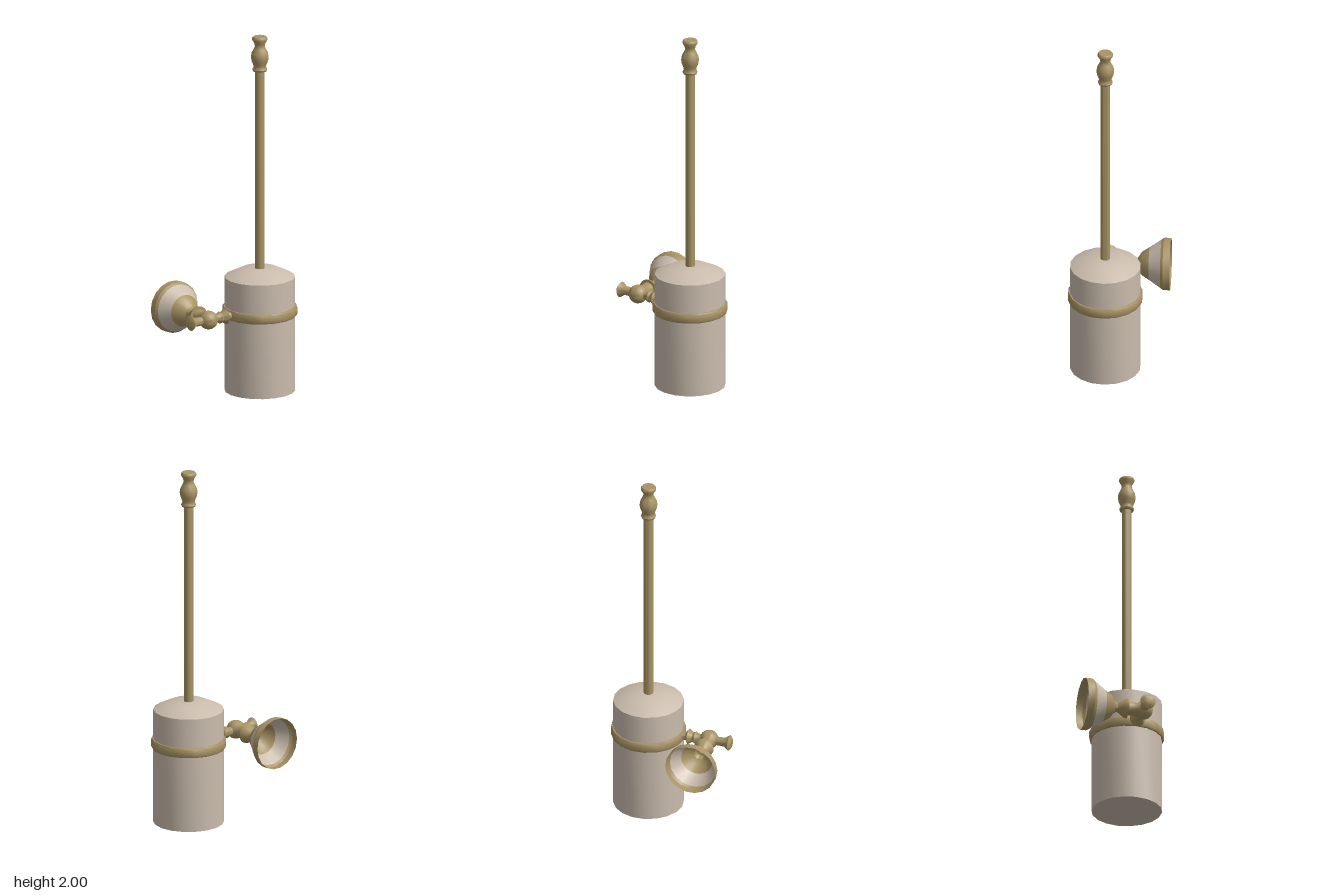
import * as THREE from 'three';
import { toCreasedNormals } from 'three/addons/utils/BufferGeometryUtils.js';

const brass = new THREE.MeshStandardMaterial({ color: 0xa89364, side: THREE.DoubleSide });
brass.name = 'brass';
const ceramic = new THREE.MeshStandardMaterial({ color: 0xcabcad, side: THREE.DoubleSide });
ceramic.name = 'ceramic';

const SIDES = 18;
const CUP = { x: 0.14, z: 0.067 };
const ARM = { x: -0.205, y: 0.452, z: 0.067 };

// Turned part: points are [radius, position along the axis]
function turned(name, points, material, axis = 'y', crease = 0.8) {
  const profile = points.map(([r, t]) => new THREE.Vector2(r, t));
  const lathe = new THREE.LatheGeometry(profile, SIDES, Math.PI / 2);
  const geometry = toCreasedNormals(lathe, crease);
  if (axis === 'x') geometry.rotateZ(-Math.PI / 2);
  if (axis === 'z') geometry.rotateX(Math.PI / 2);
  const mesh = new THREE.Mesh(geometry, material);
  mesh.name = name;
  return mesh;
}

export function createModel() {
  const model = new THREE.Group();
  model.name = 'toiletBrushHolder';

  // Cup, lid, holding ring and brush share one vertical axis
  const brush = new THREE.Group();
  brush.name = 'cupAndBrush';
  brush.position.set(CUP.x, 0, CUP.z);
  brush.add(
    turned('cup', [[0, 0], [0.193, 0], [0.193, 0.643]], ceramic),
    turned('lid', [[0.193, 0.643], [0.1, 0.688], [0, 0.69]], ceramic),
    turned('holdingRing', [
      [0.188, 0.425], [0.2, 0.425], [0.205, 0.433], [0.205, 0.472], [0.2, 0.48], [0.188, 0.48],
    ], brass),
    turned('handleRod', [[0.026, 0.68], [0.026, 1.81]], brass),
    turned('handleKnob', [
      [0, 1.805], [0.037, 1.805], [0.041, 1.815], [0.034, 1.828], [0.036, 1.84], [0.045, 1.862],
      [0.049, 1.885], [0.045, 1.908], [0.034, 1.93], [0.027, 1.945], [0.03, 1.962],
      [0.042, 1.982], [0.042, 1.992], [0.036, 2], [0, 2],
    ], brass),
  );
  model.add(brush);

  // Wall mount: flared bell, neck and ball along z
  const mount = new THREE.Group();
  mount.name = 'wallMount';
  mount.position.set(ARM.x, ARM.y, 0);
  const ball = [];
  for (let i = 0; i <= 8; i++) {
    const a = -Math.PI / 4 + (i / 8) * Math.PI * 0.75;
    ball.push([Math.max(0, 0.052 * Math.cos(a)), ARM.z + 0.004 + 0.052 * Math.sin(a)]);
  }
  mount.add(
    turned('bellRim', [[0.143, -0.272], [0.143, -0.234], [0.133, -0.22]], brass, 'z', 0.5),
    turned('bellBand', [[0.133, -0.22], [0.089, -0.155]], ceramic, 'z'),
    turned('bellThroat', [[0.089, -0.155], [0.063, -0.114], [0.034, -0.095]], brass, 'z'),
    turned('mountNeck', [
      [0.034, -0.095], [0.025, -0.077], [0.034, -0.06], [0.053, -0.033], [0.055, -0.021],
      [0.04, -0.02], [0.036, 0.005], ...ball,
    ], brass, 'z'),
  );
  model.add(mount);

  // Crossbar along x: free finial on one side, ring joint on the other
  const crossbar = turned('crossbar', [
    [0, -0.335], [0.026, -0.335], [0.043, -0.322], [0.025, -0.295], [0.024, -0.25],
    [0.024, -0.155], [0.025, -0.143], [0.033, -0.128], [0.026, -0.115], [0.043, -0.09],
    [0.023, -0.076], [0.023, -0.05],
  ], brass, 'x');
  crossbar.position.set(0, ARM.y, ARM.z);
  model.add(crossbar);

  return model;
}
